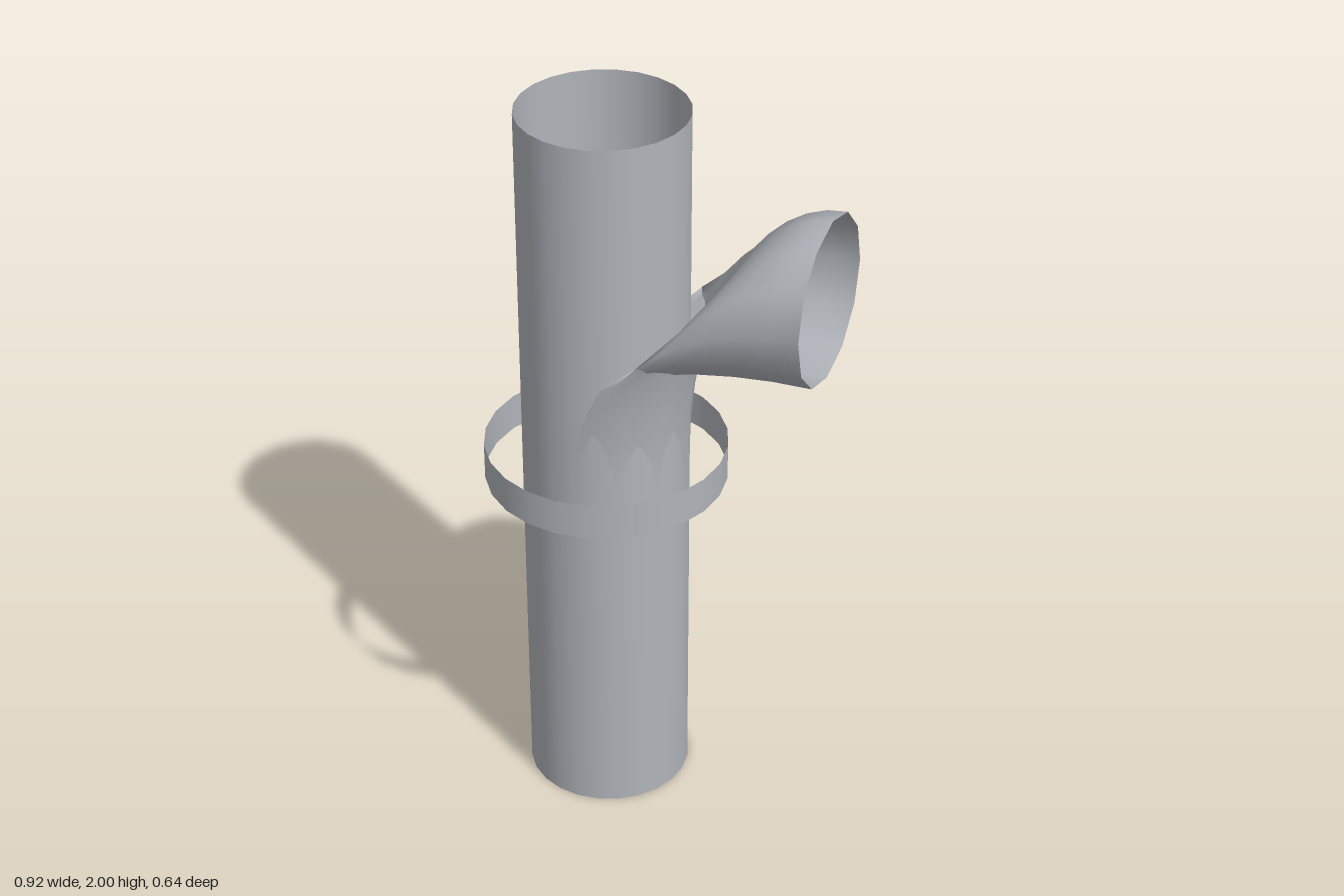
import * as THREE from 'three';

const PIPE_X = -0.14, PIPE_R = 0.22, JOINT_Y = 1;

// Open-ended tube standing on the pipe axis
function openTube(name, radius, height, y, material) {
  const mesh = new THREE.Mesh(
    new THREE.CylinderGeometry(radius, radius, height, 24, 1, true), material);
  mesh.position.set(PIPE_X, y, 0);
  mesh.name = name;
  return mesh;
}

// Quarter-bend branch: rings follow an arc while their in-plane axis turns
// from +x to +y, so the bend pinches in the middle and flares at the mouth
function branchGeometry(bend, radius, sides, steps) {
  const positions = [], index = [];
  for (let i = 0; i <= steps; i++) {
    const phi = (i / steps) * Math.PI / 2;
    for (let j = 0; j < sides; j++) {
      const theta = (j / sides) * Math.PI * 2;
      const offset = radius * Math.cos(theta);
      positions.push(
        PIPE_X + bend - (bend - offset) * Math.cos(phi),
        JOINT_Y + (bend + offset) * Math.sin(phi),
        radius * Math.sin(theta));
    }
  }
  for (let i = 0; i < steps; i++) {
    for (let j = 0; j < sides; j++) {
      const k = (j + 1) % sides;
      const a = i * sides + j, b = i * sides + k;
      const c = a + sides, d = b + sides;
      index.push(a, c, b, b, c, d);
    }
  }
  const geometry = new THREE.BufferGeometry();
  geometry.setAttribute('position', new THREE.Float32BufferAttribute(positions, 3));
  geometry.setIndex(index);
  geometry.computeVertexNormals();
  return geometry;
}

export function createModel() {
  const group = new THREE.Group();
  group.name = 'branchedPipe';
  const metal = new THREE.MeshStandardMaterial({ color: 0xb0b4ba, side: THREE.DoubleSide });
  metal.name = 'greyMetal';

  // Main pipe and the loose collar around the joint
  group.add(openTube('mainPipe', PIPE_R, 2, 1, metal));
  group.add(openTube('collar', 0.32, 0.1, JOINT_Y, metal));

  // Side branch
  const branch = new THREE.Mesh(branchGeometry(0.6, PIPE_R, 12, 12), metal);
  branch.name = 'branchPipe';
  group.add(branch);
  return group;
}
